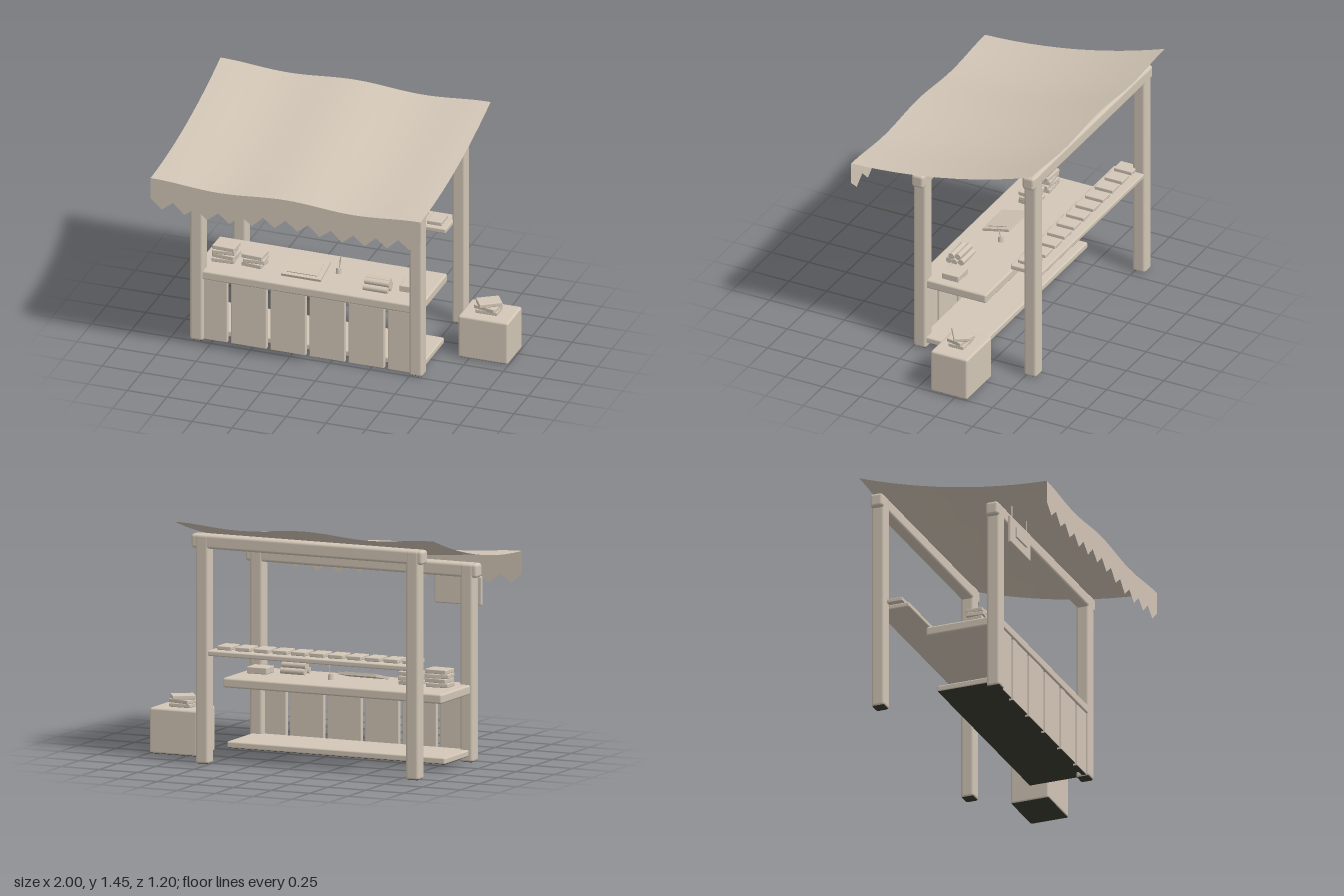
import * as THREE from 'three';
import { RoundedBoxGeometry } from 'three/addons/geometries/RoundedBoxGeometry.js';

export function createModel() {
  const model = new THREE.Group();
  model.name = 'marketStall';
  const clay = new THREE.MeshStandardMaterial({ color: 0xd2c6b6, side: THREE.DoubleSide });
  clay.name = 'warm grey';
  const dark = new THREE.MeshStandardMaterial({ color: 0x3c3b33 });
  dark.name = 'dark underside';
  const darkBase = [clay, clay, clay, dark, clay, clay];

  const add = (name, geometry, material = clay, parent = model) => {
    const mesh = new THREE.Mesh(geometry, material);
    mesh.name = name;
    parent.add(mesh);
    return mesh;
  };
  // Softened box given by its limits on each axis
  const slab = (name, [x0, x1], [y0, y1], [z0, z1], r = 0.012, material = clay) => {
    const m = add(name, new RoundedBoxGeometry(x1 - x0, y1 - y0, z1 - z0, 2, r), material);
    m.position.set((x0 + x1) / 2, (y0 + y1) / 2, (z0 + z1) / 2);
  };
  // Closed book lying flat, y is its underside
  const book = (name, x, y, z, w, h, d, turn = 0) => {
    const m = add(name, new RoundedBoxGeometry(w, h, d, 2, 0.005));
    m.position.set(x, y + h / 2, z);
    m.rotation.y = turn;
  };

  // Frame: four posts and two cross beams
  for (const [end, x] of [['right', -0.8425], ['left', 0.5375]]) {
    slab(end + 'FrontPost', [x - 0.043, x + 0.043], [0.005, 1.195], [0.165, 0.25], 0.018, darkBase);
    slab(end + 'BackPost', [x - 0.043, x + 0.043], [0.005, 1.38], [-0.572, -0.487], 0.018, darkBase);
  }
  slab('frontBeam', [-0.91, 0.61], [1.11, 1.195], [0.168, 0.248], 0.018);
  slab('backBeam', [-0.91, 0.61], [1.295, 1.38], [-0.57, -0.49], 0.018);

  // Cloth canopy: sags front to back, ripples side to side
  const ripple = x => 0.0125 * Math.cos(2 * Math.PI * (x + 1) / 0.85);
  const clothY = (x, z) => {
    const t = (0.6 - z) / 1.2;
    return 1.207 + 0.03 * t + 0.2 * t * t + ripple(x);
  };
  const cloth = new THREE.PlaneGeometry(1.7, 1.2, 32, 12).rotateX(-Math.PI / 2).translate(-0.15, 0, 0);
  const cp = cloth.attributes.position;
  for (let i = 0; i < cp.count; i++) cp.setY(i, clothY(cp.getX(i), cp.getZ(i)));
  cloth.computeVertexNormals();
  add('canopy', cloth);

  // Zigzag valance hanging from the front edge
  const valance = new THREE.Shape();
  const teeth = 12;
  for (let i = 0; i <= 32; i++) {
    const x = -1 + 1.7 * i / 32;
    valance[i ? 'lineTo' : 'moveTo'](x, clothY(x, 0.6));
  }
  for (let i = teeth * 2; i >= 0; i--) {
    const x = -1 + 1.7 * i / (teeth * 2);
    valance.lineTo(x, clothY(x, 0.6) - (i % 2 ? 0.195 : 0.135));
  }
  add('valance', new THREE.ShapeGeometry(valance)).position.z = 0.6;

  // Counter, front panels, low shelf and back shelf
  slab('counterTop', [-0.87, 0.565], [0.412, 0.47], [-0.227, 0.243]);
  for (let i = 0; i < 6; i++) {
    const x = -0.876 + 0.2465 * i;
    slab('frontPanel', [x, x + 0.224], [0.015, 0.415], [0.203, 0.233], 0.006, darkBase);
  }
  slab('lowShelf', [-0.86, 0.57], [0.04, 0.08], [-0.16, 0.205], 0.01, darkBase);
  slab('backShelf', [-0.81, 0.505], [0.655, 0.686], [-0.565, -0.36], 0.008);
  for (let i = 0; i < 11; i++) book('shelfBook', -0.795 + 0.1215 * i, 0.686, -0.45, 0.093, 0.024, 0.12);

  // Book stacks on the counter
  [0.06, -0.08, 0.1, -0.04].forEach((turn, i) =>
    book('stackedBook', -0.73 + 0.006 * (i % 2), 0.47 + 0.027 * i, 0.05, 0.14, 0.026, 0.11, turn));
  [-0.1, 0.08, -0.05].forEach((turn, i) =>
    book('stackedBook', -0.545 + 0.006 * (i % 2), 0.47 + 0.027 * i, 0.05, 0.13, 0.026, 0.105, turn));

  // Tilted writing board with a sheet
  const board = new THREE.Group();
  board.name = 'writingBoard';
  add('board', new THREE.BoxGeometry(0.25, 0.016, 0.18), clay, board);
  add('sheet', new THREE.BoxGeometry(0.19, 0.005, 0.13), clay, board).position.y = 0.01;
  board.position.set(-0.222, 0.498, 0.055);
  board.rotation.x = 0.22;
  model.add(board);

  // Ink pot and quill
  add('inkPot', new THREE.CylinderGeometry(0.014, 0.018, 0.036, 12)).position.set(-0.04, 0.488, -0.01);
  const quill = add('quill', new THREE.CylinderGeometry(0.004, 0.002, 0.1, 6));
  quill.position.set(-0.03, 0.537, -0.005);
  quill.rotation.set(0.2, 0, -0.16);

  // Pile of scrolls
  for (const [z, y, dx] of [[0.145, 0, 0], [0.106, 0, 0.006], [0.067, 0, -0.005], [0.126, 1, 0.004], [0.087, 1, -0.004]]) {
    const s = add('scroll', new THREE.CylinderGeometry(0.019, 0.019, 0.155, 12));
    s.rotation.z = Math.PI / 2;
    s.position.set(0.25 + dx, 0.489 + 0.033 * y, z);
  }
  book('counterBook', 0.445, 0.47, 0.04, 0.13, 0.04, 0.11);

  // Hanging sign
  slab('signBoard', [-0.88, -0.57], [0.925, 1.1], [0.298, 0.321], 0.008);
  slab('signPlate', [-0.81, -0.65], [0.983, 1.047], [0.32, 0.332], 0.002);
  for (const x of [-0.84, -0.61]) {
    add('signHanger', new THREE.CylinderGeometry(0.004, 0.004, 0.085, 6)).position.set(x, 1.133, 0.309);
  }

  // Crate with a small stack of books
  slab('crate', [0.682, 0.997], [0.003, 0.277], [-0.33, -0.085], 0.014, darkBase);
  book('crateBook', 0.835, 0.277, -0.205, 0.137, 0.024, 0.1);
  book('crateBook', 0.833, 0.301, -0.202, 0.14, 0.024, 0.105, -0.22);
  book('crateBook', 0.835, 0.325, -0.205, 0.14, 0.025, 0.1, 0.58);

  return model;
}
